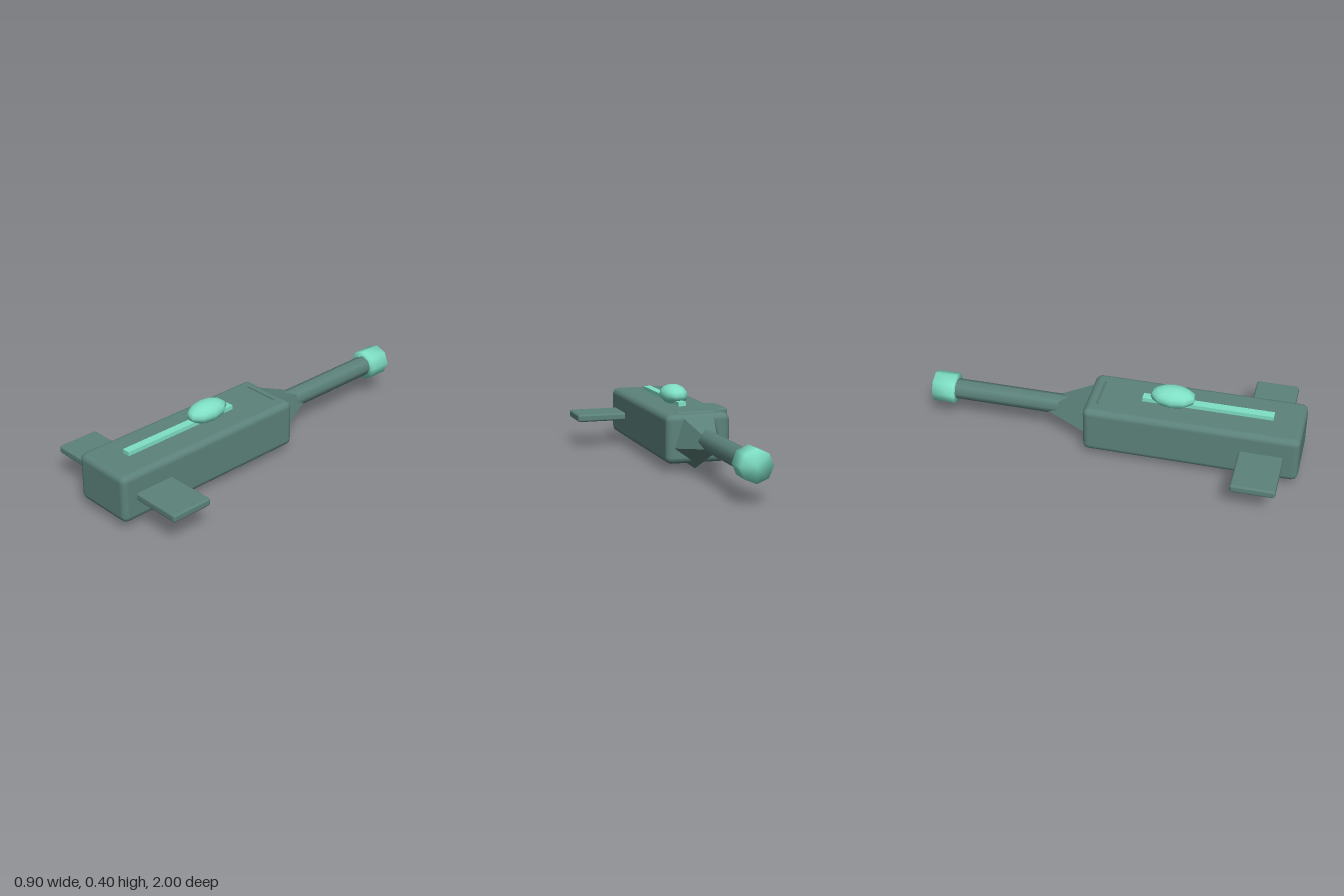
import * as THREE from 'three';
import { mergeVertices } from 'three/addons/utils/BufferGeometryUtils.js';
import { RoundedBoxGeometry } from 'three/addons/geometries/RoundedBoxGeometry.js';

// Weld the seams so shading runs smoothly over every edge
function welded(geometry) {
  geometry.deleteAttribute('uv');
  geometry.deleteAttribute('normal');
  const result = mergeVertices(geometry, 1e-4);
  result.computeVertexNormals();
  return result;
}

export function createModel() {
  const model = new THREE.Group();
  model.name = 'model';

  const dark = new THREE.MeshStandardMaterial({ color: 0x5c827b });
  dark.name = 'dark teal';
  const mint = new THREE.MeshStandardMaterial({ color: 0x7fe0c6 });
  mint.name = 'mint';
  const darkFlat = dark.clone();
  darkFlat.flatShading = true;

  const add = (name, geometry, material, x, y, z) => {
    const mesh = new THREE.Mesh(geometry, material);
    mesh.name = name;
    mesh.position.set(x, y, z);
    model.add(mesh);
    return mesh;
  };

  // Long rounded hull
  add('body', new RoundedBoxGeometry(0.35, 0.26, 1.14, 2, 0.035), dark, 0, 0.17, 0.43);

  // Side fins, reaching slightly into the hull
  for (const side of [-1, 1]) {
    add(side > 0 ? 'leftFin' : 'rightFin',
      new RoundedBoxGeometry(0.3, 0.042, 0.23, 2, 0.012), dark, side * 0.3, 0.17, 0.805);
  }

  // Five-sided cone behind the hull, one corner pointing down
  const radius = 0.1686;
  const coneLength = 0.39;
  const cone = new THREE.ConeGeometry(radius, coneLength, 5);
  cone.rotateX(-Math.PI / 2);
  cone.rotateZ(Math.PI);
  // Turn the ring so its lowest corner sits exactly at the bottom
  const p = cone.attributes.position;
  let lowest = 0;
  for (let i = 0; i < p.count; i++) if (p.getY(i) < p.getY(lowest)) lowest = i;
  cone.rotateZ(-Math.PI / 2 - Math.atan2(p.getY(lowest), p.getX(lowest)));
  add('tailCone', cone, darkFlat, 0, radius, -0.07 - coneLength / 2);

  // Tail boom and its end cap
  const boom = new THREE.CylinderGeometry(0.055, 0.055, 0.8, 8).rotateX(Math.PI / 2);
  add('tailBoom', boom, dark, 0, 0.185, -0.5);
  const cap = welded(new THREE.CylinderGeometry(0.083, 0.083, 0.12, 8).rotateX(Math.PI / 2));
  add('tailCap', cap, mint, 0, 0.186, -0.94);

  // Raised strip and egg-shaped dome on the deck
  add('deckStrip', new THREE.BoxGeometry(0.044, 0.03, 0.69), mint, 0, 0.307, 0.495);
  add('dome', new THREE.SphereGeometry(1, 10, 8), mint, 0, 0.345, 0.31).scale.set(0.073, 0.055, 0.122);

  return model;
}
